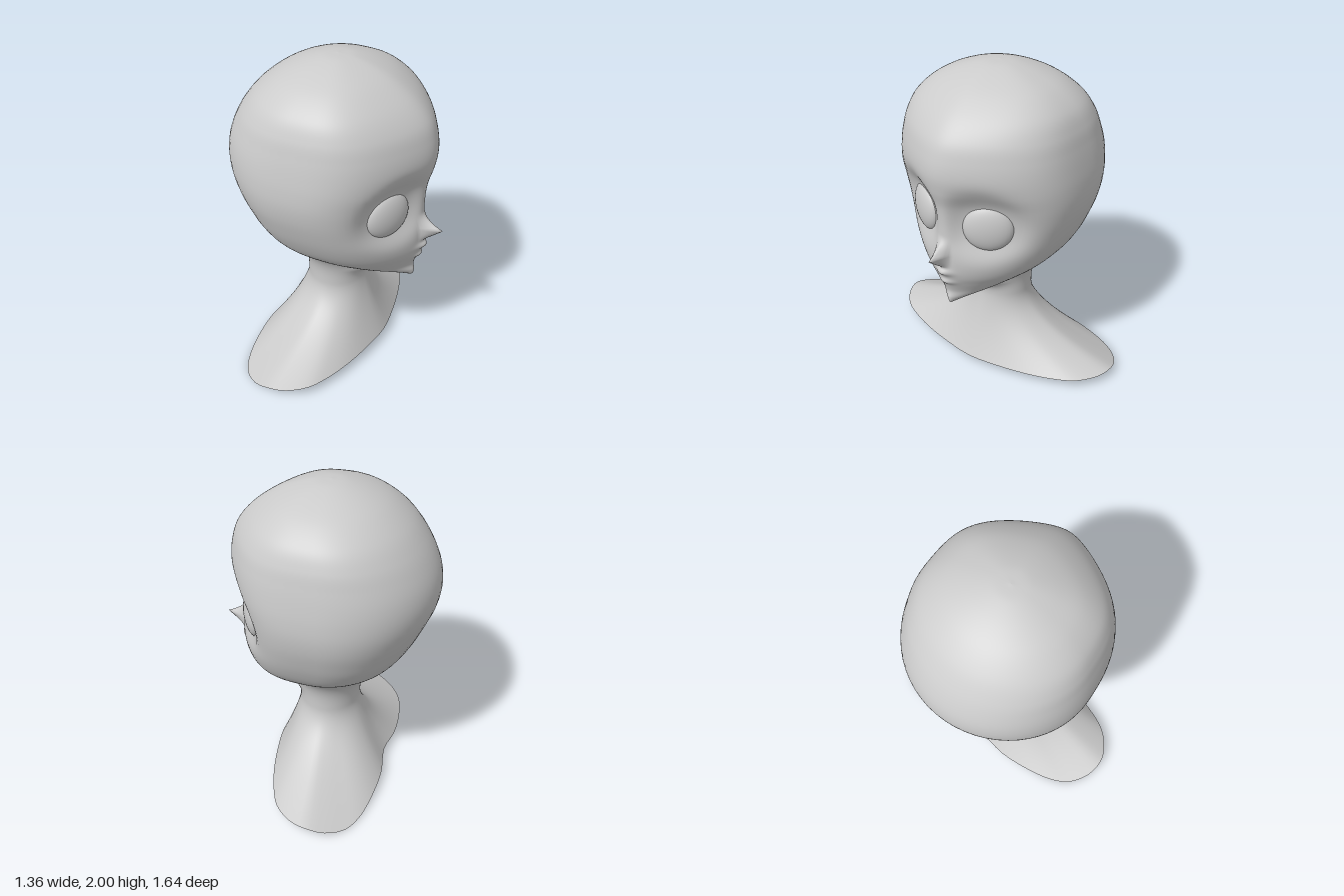
import * as THREE from 'three';

const material = new THREE.MeshStandardMaterial({ color: 0xcccccc, side: THREE.DoubleSide });

// Smooth closed-ring surface: point(t, s) runs top to bottom in t, around in s
function loft(name, rows, cols, point) {
  const pos = [], index = [];
  for (let i = 0; i <= rows; i++)
    for (let j = 0; j < cols; j++) pos.push(...point(i / rows, j / cols));
  for (let i = 0; i < rows; i++)
    for (let j = 0; j < cols; j++) {
      const k = (j + 1) % cols;
      const a = i * cols + j, b = i * cols + k, c = a + cols, d = b + cols;
      index.push(a, b, c, b, d, c);
    }
  const g = new THREE.BufferGeometry();
  g.setAttribute('position', new THREE.Float32BufferAttribute(pos, 3));
  g.setIndex(index);
  g.computeVertexNormals();
  const mesh = new THREE.Mesh(g, material);
  mesh.name = name;
  return mesh;
}

const bell = (v, centre, width) => Math.exp(-(((v - centre) / width) ** 2));
const tent = (v, width) => Math.max(0, 1 - Math.abs(v) / width);

// Head sections: height, back x, front x, half width, x of the widest point
const sections = [
  [2.0, -0.02, -0.02, 0.002, -0.02],
  [1.99, -0.12, 0.09, 0.11, -0.02],
  [1.95, -0.25, 0.22, 0.25, -0.03],
  [1.89, -0.37, 0.34, 0.38, -0.04],
  [1.8, -0.485, 0.46, 0.485, -0.06],
  [1.7, -0.57, 0.545, 0.537, -0.08],
  [1.6, -0.63, 0.583, 0.563, -0.09],
  [1.5, -0.668, 0.597, 0.582, -0.1],
  [1.4, -0.68, 0.584, 0.594, -0.1],
  [1.3, -0.665, 0.558, 0.595, -0.1],
  [1.2, -0.628, 0.548, 0.58, -0.1],
  [1.1, -0.585, 0.548, 0.55, -0.09],
  [1.0, -0.533, 0.557, 0.51, -0.08],
  [0.9, -0.465, 0.557, 0.455, -0.05],
  [0.83, -0.39, 0.548, 0.395, 0.0],
  [0.77, -0.3, 0.528, 0.32, 0.06],
  [0.7, -0.2, 0.505, 0.21, 0.17],
  [0.65, -0.1, 0.512, 0.11, 0.27],
  [0.615, 0.0, 0.505, 0.04, 0.32],
  [0.6, 0.06, 0.475, 0.002, 0.34],
];

function makeHead() {
  const curve = (f) => new THREE.CatmullRomCurve3(
    sections.map((r) => new THREE.Vector3(...f(r))), false, 'catmullrom', 0.5);
  const backAndWidth = curve(([y, b, , w]) => [b, y, w]);
  const frontAndMid = curve(([y, , f, , m]) => [f, y, m]);
  return loft('head', 171, 96, (t, s) => {
    const { x: back, y, z: width } = backAndWidth.getPoint(t);
    const { x: front, z: mid } = frontAndMid.getPoint(t);
    // columns gather toward the face
    const angle = 2 * Math.PI * s - 0.6 * Math.sin(2 * Math.PI * s);
    const c = Math.cos(angle);
    let z = width * Math.sin(angle);
    if (c <= 0) return [mid + (mid - back) * c, y, z];
    // full temples narrowing to the middle of the face
    z *= 1 + 0.32 * c ** 2 - 0.65 * c ** 4;
    const point = 1 + 0.2 * (1 - THREE.MathUtils.smoothstep(y, 0.65, 1.0));
    let x = mid + (front - mid) * c ** point;
    // eye sockets, leaving the bridge of the nose
    const r2 = ((Math.abs(z) - 0.23) / 0.2) ** 2 + ((y - 1.2) / 0.21) ** 2;
    x -= 0.06 * Math.exp(-r2 * r2) * (1 - bell(z, 0, 0.06));
    // nose, upper lip, lower lip
    x += 0.122 * (y > 1 ? tent(y - 1, 0.11) ** 2 : tent(y - 1, 0.1)) * tent(z, 0.05);
    x += 0.026 * bell(y, 0.87, 0.025) * bell(z, 0, 0.05);
    x += 0.018 * bell(y, 0.79, 0.02) * bell(z, 0, 0.05);
    return [x, y, z];
  });
}

// Half of the bust's lower edge, chest to spine
const rimHalf = [
  [0.33, 0.06, 0], [0.305, 0.06, 0.2], [0.26, 0.06, 0.4], [0.2, 0.06, 0.57],
  [0.13, 0.063, 0.7], [0.02, 0.065, 0.79], [-0.09, 0.065, 0.822], [-0.21, 0.03, 0.795],
  [-0.32, 0.003, 0.71], [-0.385, 0.008, 0.58], [-0.42, 0.03, 0.4], [-0.43, 0.047, 0.2],
  [-0.4, 0.056, 0],
];

function makeBust() {
  const mirrored = rimHalf.slice(1, -1).reverse().map(([x, y, z]) => [x, y, -z]);
  const rim = new THREE.CatmullRomCurve3(
    [...rimHalf, ...mirrored].map((p) => new THREE.Vector3(...p)), true, 'catmullrom', 0.5);
  const top = 0.8, base = 0.5;
  return loft('neckAndShoulders', 54, 72, (t, s) => {
    const angle = 2 * Math.PI * s, c = Math.cos(angle), sn = Math.sin(angle);
    let x = -0.015 + 0.195 * c, z = 0.217 * sn;
    if (t < 0.35) {
      // neck, flaring into the jaw and skull
      const y = top + (base - top) * (t / 0.35);
      const flare = 0.13 * ((y - base) / 0.3) ** 3;
      const throat = 0.08 * Math.max(c, 0) ** 4 * Math.min(1, ((y - base) / 0.11) ** 3);
      return [x + (flare + throat) * c, y, z + flare * sn];
    }
    // sweep outward to the shoulders, chest and back
    const v = (t - 0.35) / 0.65, edge = rim.getPoint(s);
    const f = v ** (1.35 + 0.75 * Math.abs(sn));
    x += (edge.x - x) * f;
    z += (edge.z - z) * f;
    return [x, base + (edge.y - base) * v, z];
  });
}

function makeEye(side) {
  const eye = new THREE.Mesh(new THREE.SphereGeometry(1, 32, 24), material);
  eye.name = side > 0 ? 'leftEye' : 'rightEye';
  eye.scale.set(0.06, 0.147, 0.148);
  eye.position.set(0.408, 1.174, 0.223 * side);
  eye.rotation.y = -0.51 * side;
  return eye;
}

export function createModel() {
  const model = new THREE.Group();
  model.name = 'headBust';
  model.add(makeHead(), makeBust(), makeEye(1), makeEye(-1));
  return model;
}
